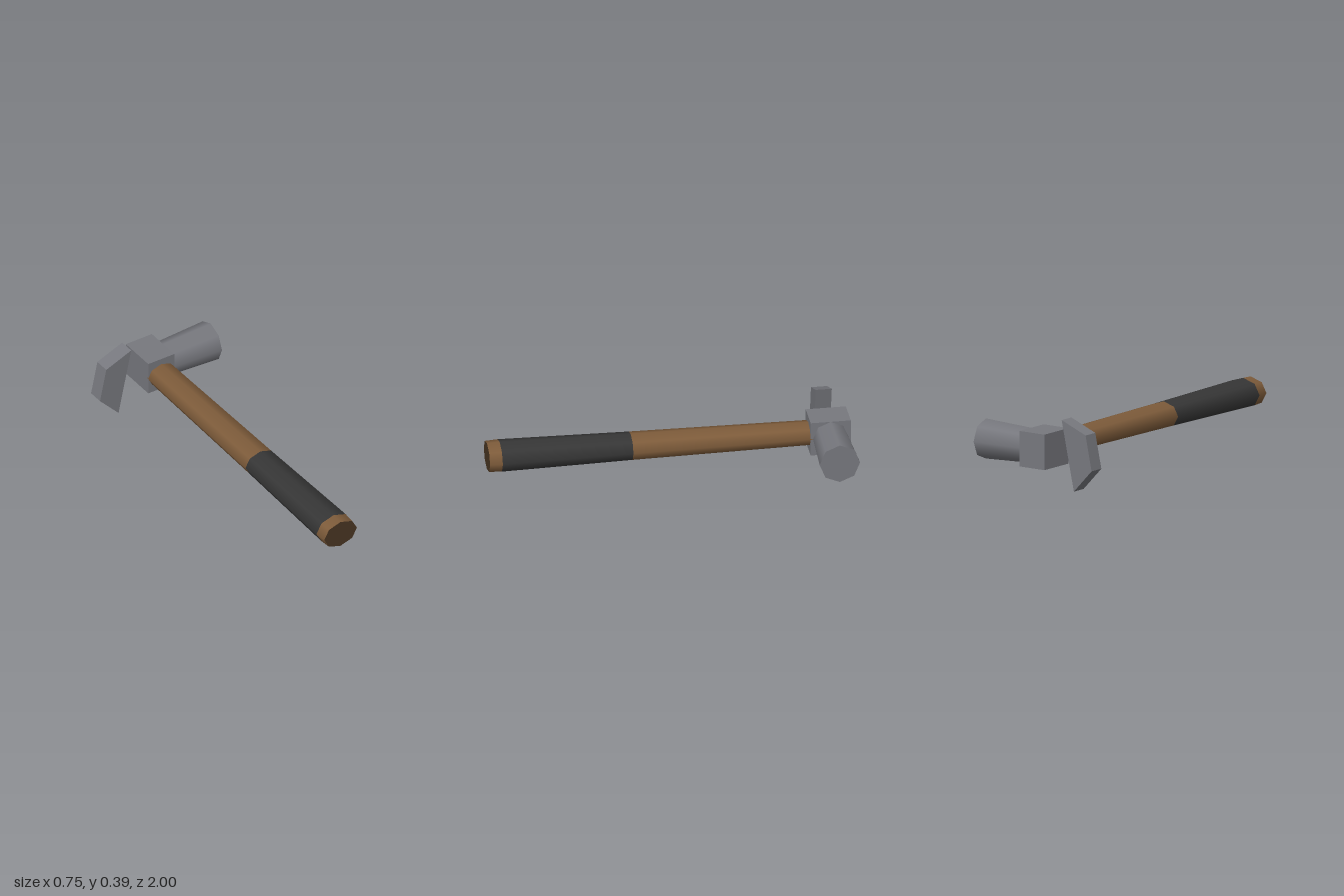
import * as THREE from 'three';

const SIDES = 8;
const AXIS_X = -0.021, AXIS_Y = 0.211, HEAD_Z = -0.889;

function material(name, color) {
  const m = new THREE.MeshStandardMaterial({ color });
  m.name = name;
  return m;
}

export function createModel() {
  const steel = material('steel grey', 0x77787e);
  const wood = material('wood brown', 0x7d5b3a);
  const endGrain = material('dark end grain', 0x4a3623);
  const rubber = material('grip black', 0x363636);

  const model = new THREE.Group();
  model.name = 'hammer';

  const add = (parent, name, geometry, mat, x, y, z) => {
    const mesh = new THREE.Mesh(geometry, mat);
    mesh.name = name;
    mesh.position.set(x, y, z);
    parent.add(mesh);
    return mesh;
  };

  // Handle: oval eight-sided sections along z, widening to the butt
  const handle = new THREE.Group();
  handle.name = 'handle';
  handle.position.set(AXIS_X, AXIS_Y, 0);
  handle.scale.y = 0.75;
  model.add(handle);

  const section = (name, mat, z0, z1, r0, r1) => {
    const g = new THREE.CylinderGeometry(r1, r0, z1 - z0, SIDES, 1, true);
    g.rotateX(Math.PI / 2);
    add(handle, name, g, mat, 0, 0, (z0 + z1) / 2);
  };
  section('shaft', wood, -0.79, 0.205, 0.086, 0.098);
  section('grip', rubber, 0.205, 0.93, 0.098, 0.112);
  section('butt', wood, 0.93, 1, 0.112, 0.107);
  add(handle, 'buttEnd', new THREE.CircleGeometry(0.107, SIDES), endGrain, 0, 0, 1);

  // Head: central block and flared striking face
  const head = new THREE.Group();
  head.name = 'head';
  model.add(head);
  add(head, 'headBlock', new THREE.BoxGeometry(0.17, 0.198, 0.222), steel, AXIS_X, AXIS_Y, HEAD_Z);

  const poll = new THREE.CylinderGeometry(0.112, 0.098, 0.313, SIDES);
  poll.rotateZ(-Math.PI / 2);
  add(head, 'strikingPoll', poll, steel, 0.2195, AXIS_Y, HEAD_Z);

  // Claw: slanted four-cornered blade standing clear of the block
  const outline = new THREE.Shape([
    [-0.378, 0.128], [-0.257, 0], [-0.174, 0.389], [-0.337, 0.323],
  ].map(([x, y]) => new THREE.Vector2(x, y)));
  const claw = new THREE.ExtrudeGeometry(outline, { depth: 0.089, bevelEnabled: false });
  add(head, 'claw', claw, steel, 0, 0, HEAD_Z - 0.0445);

  return model;
}
